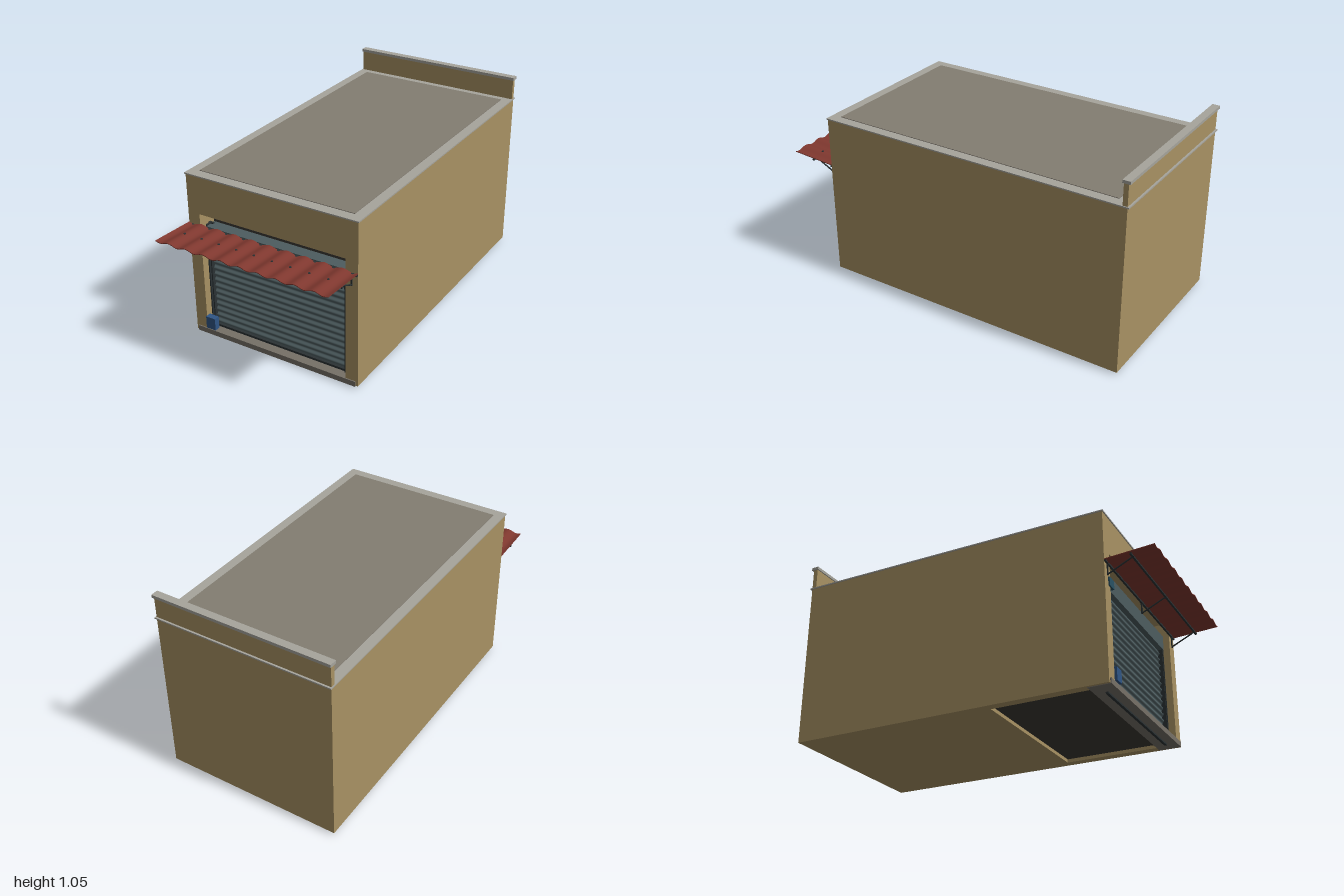
import * as THREE from 'three';

const paint = (color) => new THREE.MeshStandardMaterial({ color, side: THREE.DoubleSide });

export function createModel() {
  const model = new THREE.Group();
  const wall = paint(0xa89263), stone = paint(0xa6a49c), roofGrey = paint(0x837d72);
  const sillGrey = paint(0x767067), dark = paint(0x3a3833), iron = paint(0x2b3234);
  const steel = paint(0x4d5c5f), slat = paint(0x506063), tin = paint(0x80382f);
  const teal = paint(0x2a5263), blue = paint(0x2f5585);

  const add = (name, geometry, material, parent = model) => {
    const mesh = new THREE.Mesh(geometry, material);
    mesh.name = name;
    parent.add(mesh);
    return mesh;
  };
  // box given by its lower and upper limits
  const box = (name, [x0, x1], [y0, y1], [z0, z1], material, parent = model) => {
    const g = new THREE.BoxGeometry(x1 - x0, y1 - y0, z1 - z0);
    g.translate((x0 + x1) / 2, (y0 + y1) / 2, (z0 + z1) / 2);
    return add(name, g, material, parent);
  };
  // thin round bar between two points
  const rod = (name, a, b, radius, material, parent) => {
    const path = new THREE.LineCurve3(new THREE.Vector3(...a), new THREE.Vector3(...b));
    return add(name, new THREE.TubeGeometry(path, 1, radius, 8), material, parent);
  };

  // walls: solid rear block, hollow front bay, front wall with the doorway
  box('rearBlock', [-0.488, 0.488], [0.012, 0.912], [-0.99, 0.117], wall);
  for (const s of [-1, 1]) {
    const xs = [0.44 * s, 0.488 * s].sort((a, b) => a - b);
    box('sideWall', xs, [0.012, 0.912], [0.117, 0.635], wall);
  }
  box('bayCeiling', [-0.44, 0.44], [0.72, 0.912], [0.117, 0.635], wall);
  const front = new THREE.Shape();
  [[-0.488, 0.012], [-0.42, 0.012], [-0.42, 0.706], [0.42, 0.706], [0.42, 0.012],
    [0.488, 0.012], [0.488, 0.912], [-0.488, 0.912]].forEach(([x, y], i) =>
    i ? front.lineTo(x, y) : front.moveTo(x, y));
  const frontGeo = new THREE.ExtrudeGeometry(front, { depth: 0.11, bevelEnabled: false });
  add('frontWall', frontGeo.translate(0, 0, 0.635), wall);
  box('darkInterior', [-0.439, 0.439], [0.03, 0.719], [0.118, 0.634], dark);

  // roof edge, roof surface and rear parapet
  box('roofEdge', [-0.493, 0.493], [0.911, 0.918], [-1, 0.75], stone);
  box('roofSurface', [-0.44, 0.44], [0.914, 0.921], [-0.925, 0.695], roofGrey);
  box('parapet', [-0.488, 0.488], [0.918, 1.031], [-0.99, -0.965], wall);
  box('parapetCap', [-0.493, 0.493], [1.031, 1.047], [-1, -0.959], stone);

  // doorway: sill, rails, hood and corrugated shutter
  box('doorSill', [-0.476, 0.476], [0.009, 0.038], [0.632, 0.751], sillGrey);
  box('shutterBottomBar', [-0.394, 0.394], [0, 0.05], [0.688, 0.702], iron);
  for (const s of [-1, 1]) {
    const rail = new THREE.Group();
    rail.name = 'shutterRail';
    model.add(rail);
    const span = (a, b) => [a * s, b * s].sort((p, q) => p - q);
    box('railBack', span(0.392, 0.419), [0.038, 0.635], [0.668, 0.68], iron, rail);
    box('railInnerLip', span(0.392, 0.398), [0.038, 0.545], [0.68, 0.71], iron, rail);
    box('railOuterLip', span(0.408, 0.414), [0.038, 0.635], [0.68, 0.71], iron, rail);
  }
  box('shutterHood', [-0.406, 0.406], [0.545, 0.628], [0.65, 0.715], steel);
  const pitch = 0.0353;
  const shutterGeo = new THREE.PlaneGeometry(0.788, 0.51, 1, 140).translate(0, 0.293, 0.69);
  const sp = shutterGeo.attributes.position;
  for (let i = 0; i < sp.count; i++) {
    sp.setZ(i, 0.69 - 0.005 * Math.cos((sp.getY(i) - 0.507) / pitch * Math.PI * 2));
  }
  shutterGeo.computeVertexNormals();
  add('shutterCurtain', shutterGeo, slat);

  // wavy awning sheet, rising slightly outwards
  const awning = new THREE.Group();
  awning.name = 'awning';
  model.add(awning);
  const wave = 0.1025;
  const rise = (z) => 0.645 + (z - 0.745) * 0.055;
  const ripple = (x) => 0.006 * Math.cos(x / wave * Math.PI * 2);
  const sheetGeo = new THREE.BoxGeometry(0.976, 0.004, 0.255, 120, 1, 1).translate(0, 0, 0.8725);
  const ap = sheetGeo.attributes.position;
  for (let i = 0; i < ap.count; i++) {
    ap.setY(i, ap.getY(i) + rise(ap.getZ(i)) + ripple(ap.getX(i)));
  }
  sheetGeo.computeVertexNormals();
  add('awningSheet', sheetGeo, tin, awning);
  for (let k = -4; k <= 4; k++) {
    const screw = new THREE.CylinderGeometry(0.006, 0.006, 0.004, 8);
    add('awningScrew', screw.translate(k * wave, rise(0.875) + 0.009, 0.875), iron, awning);
  }
  box('wallBatten', [-0.486, 0.486], [0.632, 0.642], [0.745, 0.755], iron, awning);
  box('middleBatten', [-0.486, 0.486], [0.637, 0.646], [0.872, 0.882], iron, awning);
  for (const x of [-0.454, 0, 0.454]) {
    box('bracketPlate', [x - 0.004, x + 0.004], [0.574, 0.635], [0.744, 0.751], iron, awning);
    rod('bracketStrut', [x, 0.578, 0.747], [x, 0.642, 0.882], 0.004, iron, awning);
  }

  // boxes beside the doorway
  box('controlBox', [-0.446, -0.391], [0.523, 0.57], [0.728, 0.753], teal);
  box('meterBox', [-0.417, -0.36], [0.047, 0.115], [0.725, 0.757], blue);

  return model;
}
